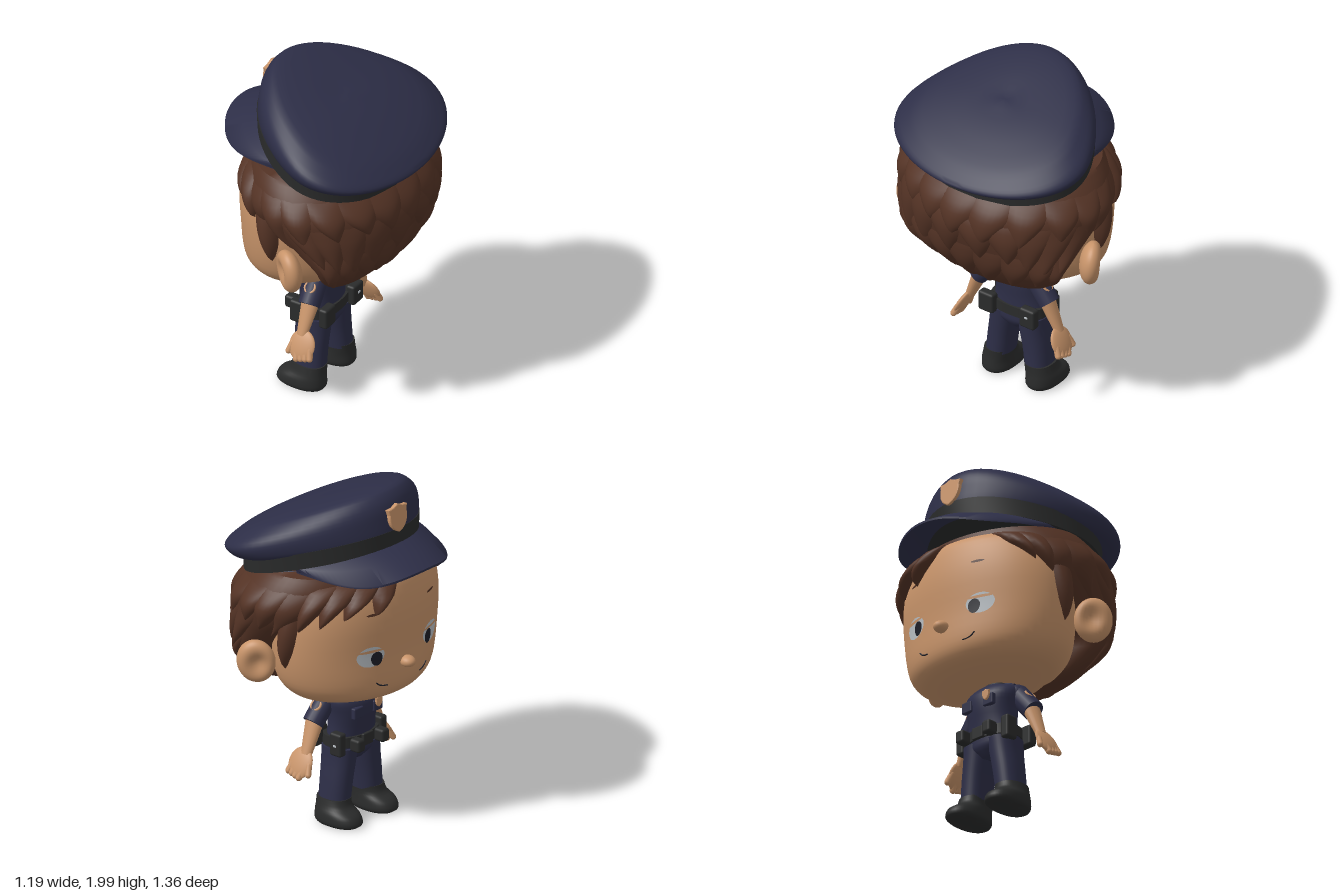
import * as THREE from 'three';
import { toCreasedNormals } from 'three/addons/utils/BufferGeometryUtils.js';
import { RoundedBoxGeometry } from 'three/addons/geometries/RoundedBoxGeometry.js';

const mat = (name, color, side = THREE.FrontSide) => {
  const m = new THREE.MeshStandardMaterial({ color, side });
  m.name = name;
  return m;
};
const navy = mat('navy cloth', 0x2d2e47), black = mat('black leather', 0x2a2b2b);
const skin = mat('skin', 0xc8946a), brown = mat('brown hair', 0x543325, THREE.DoubleSide);
const white = mat('eye white', 0xb9bfc4), dark = mat('dark pupil', 0x1c1e28);

const add = (parent, name, geo, material, x = 0, y = 0, z = 0) => {
  const m = new THREE.Mesh(geo, material);
  m.name = name;
  m.position.set(x, y, z);
  parent.add(m);
  return m;
};

// Grid of points f(i, j); faces are turned away from the middle of the head
function grid(f, nu, nv, closed, crease = 0.9) {
  const pos = [], idx = [], cols = closed ? nu : nu + 1, P = [];
  for (let j = 0; j <= nv; j++) for (let i = 0; i < cols; i++) P.push(f(i / nu, j / nv));
  P.forEach(p => pos.push(p.x, p.y, p.z));
  for (let j = 0; j < nv; j++) for (let i = 0; i < nu; i++) {
    const a = j * cols + i, b = j * cols + (i + 1) % cols;
    idx.push(a, b, a + cols, b, b + cols, a + cols);
  }
  const c = new THREE.Vector3(0, 1.2, 0), q = k => P[idx[k]].clone().sub(c);
  let volume = 0;
  for (let k = 0; k < idx.length; k += 3) volume += q(k).dot(q(k + 1).cross(q(k + 2)));
  if (volume < 0) idx.reverse();
  const g = new THREE.BufferGeometry();
  g.setAttribute('position', new THREE.Float32BufferAttribute(pos, 3));
  g.setIndex(idx);
  return toCreasedNormals(g, crease);
}

// Cross-sections: [y, half width, front x, back x, drop towards the back, centre z]
const spline = (p, q, r, s, t) =>
  0.5 * (2 * q + (r - p) * t + (2 * p - 5 * q + 4 * r - s) * t * t + (3 * q - p - 3 * r + s) * t * t * t);
function ringAt(rings, v) {
  const last = rings.length - 1, i = Math.min(Math.floor(v), last - 1), t = v - i;
  const r = k => rings[Math.max(0, Math.min(last, k))];
  return [0, 1, 2, 3, 4, 5].map(k => spline(r(i - 1)[k] || 0, r(i)[k] || 0, r(i + 1)[k] || 0, r(i + 2)[k] || 0, t));
}
// egg moves the widest part back and narrows the rear
function ringPoint(R, a, n = 2, egg = 0, off = 0) {
  const b = a + egg * Math.sin(a), pw = v => Math.sign(v) * Math.abs(v) ** (2 / n);
  const c = pw(Math.cos(b)), s = pw(Math.sin(a)) * (1 - egg * 0.75 * Math.max(0, -c) ** 2);
  return new THREE.Vector3((R[2] + R[3]) / 2 - ((R[3] - R[2]) / 2 + off) * c,
    R[0] - R[4] * (1 - c) / 2, R[5] + (R[1] + off) * s);
}
function loft(rings, { n = 2, egg = 0, sub = 3, seg = 40 } = {}) {
  const cap = r => [r[0] - (r[4] || 0) / 2, 0, (r[2] + r[3]) / 2, (r[2] + r[3]) / 2, 0, r[5] || 0];
  const rows = [], last = rings.length - 1;
  for (let k = 0; k <= last * sub; k++) rows.push(ringAt(rings, k / sub));
  rows.unshift(cap(rings[0]));
  rows.push(cap(rings[last]));
  const nv = rows.length - 1;
  return grid((u, v) => ringPoint(rows[Math.round(v * nv)], u * Math.PI * 2, n, egg), seg, nv, true);
}
// Point on a lofted surface at angle a (0 = face side) and height y
const ROUND = 1.97;
function onSurface(rings, a, y, off) {
  let i = 0;
  while (i < rings.length - 2 && rings[i + 1][0] < y) i++;
  const t = THREE.MathUtils.clamp((y - rings[i][0]) / (rings[i + 1][0] - rings[i][0]), 0, 1);
  return ringPoint(ringAt(rings, i + t), a, ROUND, 0, off);
}
// Leaf-shaped lock of hair from (a0, y0) to its tip at (a1, y1)
const lock = (rings, a0, y0, a1, y1, w, thick, blunt = 2) => grid((p, v) => {
  const u = p * 2 - 1, a = a0 + (a1 - a0) * v + u * w * (1 - v ** blunt);
  const off = thick * (1 - u * u) * Math.max(0, Math.sin(Math.PI * v ** 1.3)) ** 0.6 - 0.004;
  return onSurface(rings, a, y0 + (y1 - y0) * v + 0.03 * u * u * (1 - v), off);
}, 8, 12, false);
// Thin oval plate lying on a lofted surface
const plate = (rings, a, y, w, h, off) => grid((u, v) => onSurface(rings,
  a + w * v * Math.cos(u * 6.2832), y + h * v * Math.sin(u * 6.2832), off), 24, 4, true);

const limb = (parent, name, p, q, r0, r1, material) => {
  const a = new THREE.Vector3(...p), d = new THREE.Vector3(...q).sub(a);
  const m = add(parent, name, new THREE.CylinderGeometry(r1, r0, d.length(), 20), material);
  m.position.copy(a).addScaledVector(d, 0.5);
  m.quaternion.setFromUnitVectors(new THREE.Vector3(0, 1, 0), d.normalize());
  return m;
};
const ball = (parent, name, material, p, s) => {
  const m = add(parent, name, new THREE.SphereGeometry(1, 24, 16), material, ...p);
  m.scale.set(...s);
  return m;
};
const shield = (w, h, depth) => {
  const s = new THREE.Shape();
  s.moveTo(0, -h);
  s.bezierCurveTo(w * 0.6, -h * 0.8, w, -h * 0.4, w * 0.9, h * 0.4);
  s.lineTo(w, h * 0.75).lineTo(w * 0.5, h * 0.8).lineTo(0, h).lineTo(-w * 0.5, h * 0.8).lineTo(-w, h * 0.75).lineTo(-w * 0.9, h * 0.4);
  s.bezierCurveTo(-w, -h * 0.4, -w * 0.6, -h * 0.8, 0, -h);
  return new THREE.ExtrudeGeometry(s, { depth, bevelSize: 0.006, bevelThickness: 0.006, bevelSegments: 2 }).rotateY(-Math.PI / 2);
};

const HEAD = [[0.8, 0.3, -0.3, 0.15], [0.82, 0.4, -0.38, 0.22], [0.87, 0.47, -0.425, 0.27], [0.95, 0.515, -0.44, 0.3],
  [1.1, 0.545, -0.44, 0.3], [1.3, 0.55, -0.45, 0.3], [1.46, 0.52, -0.43, 0.3], [1.54, 0.45, -0.39, 0.28], [1.575, 0.3, -0.27, 0.2]];
const HAIR = [[0.81, 0.2, 0.1, 0.26], [0.86, 0.36, 0.11, 0.35], [0.95, 0.47, 0.11, 0.42], [1.05, 0.54, 0.09, 0.475],
  [1.2, 0.59, -0.15, 0.527], [1.3, 0.62, -0.3, 0.543], [1.4, 0.635, -0.36, 0.527], [1.5, 0.585, -0.38, 0.465], [1.57, 0.53, -0.37, 0.4]];

function buildHead(g) {
  add(g, 'head', loft(HEAD, { n: ROUND, seg: 64 }), skin);
  ball(g, 'nose', skin, [-0.455, 1.02, 0], [0.048, 0.033, 0.042]);
  for (const s of [1, -1]) {
    const corner = new THREE.CatmullRomCurve3([0.27, 0.33, 0.38, 0.42].map((a, i) => onSurface(HEAD, s * a, 0.918 + i * i * 0.003, 0)));
    add(g, 'mouthCorner', new THREE.TubeGeometry(corner, 10, 0.004, 6), dark);
    add(g, 'eye', plate(HEAD, s * 0.47, 1.11, 0.17, 0.058, 0.004), white);
    add(g, 'pupil', plate(HEAD, s * 0.4, 1.095, 0.07, 0.04, 0.008), dark);
    add(g, 'eyelid', plate(HEAD, s * 0.47, 1.143, 0.18, 0.008, 0.009), skin);
    add(g, 'eyebrow', plate(HEAD, s * 0.45, 1.35, 0.08, 0.007, 0.005), brown);
    // Ear with a hollow in its outer side
    const e = new THREE.SphereGeometry(1, 32, 24), p = e.attributes.position;
    for (let i = 0; i < p.count; i++) {
      const x = p.getX(i), y = p.getY(i), z = p.getZ(i);
      if (z > 0) p.setZ(i, z - 0.75 * Math.exp(-3.5 * ((x + 0.15) ** 2 + y * y)));
    }
    if (s < 0) e.rotateY(Math.PI).scale(-1, 1, 1), e.index.array.reverse();
    e.scale(0.108, 0.128, 0.068).computeVertexNormals();
    const ear = add(g, 'ear', e, skin, 0.115, 1.055, s * 0.602);
    ear.rotation.set(s * 0.12, s * -0.55, 0);
  }
}

function buildHair(g) {
  add(g, 'hair', loft(HAIR, { n: ROUND, seg: 64 }), brown);
  // Overlapping rows of locks, lowest row first: count, top, tip, first angle
  [[9, 1.16, 0.87, 1.85], [10, 1.36, 1.04, 1.75], [13, 1.5, 1.22, 1.1]].forEach(([n, y0, y1, start], row) => {
    for (let i = 0; i < n; i++) {
      const a = start + (2 * Math.PI - 2 * start) * i / (n - 1), wob = Math.sin(i * 7.3 + row * 2.1);
      add(g, 'hairLock', lock(HAIR, a, y0, a + wob * 0.1, y1 + wob * 0.05, 0.24, 0.03), brown);
    }
  });
  // Swept fringe and blunt sideburns
  [[0.75, 1.56, 1.15, 1.34, 0.24, 0.05], [1.0, 1.56, 1.4, 1.28, 0.28, 0.06], [1.55, 1.45, 1.67, 1.03, 0.2, 0.05, 5],
    [-0.18, 1.56, -0.42, 1.34, 0.2, 0.07], [-0.4, 1.56, -0.8, 1.34, 0.24, 0.07], [-0.7, 1.56, -1.1, 1.3, 0.26, 0.06],
    [-1.0, 1.56, -1.4, 1.27, 0.28, 0.06], [-1.55, 1.45, -1.67, 1.03, 0.2, 0.05, 5]]
    .forEach(l => add(g, 'fringeLock', lock(HEAD, ...l), brown));
}

function buildCap(g) {
  const BAND = [[1.69, 0.55, -0.385, 0.49, 0.235], [1.79, 0.555, -0.39, 0.495, 0.25]];
  add(g, 'capBand', loft(BAND, { egg: 0.27, sub: 1, seg: 64 }), black);
  add(g, 'capCrown', loft([[1.76, 0.54, -0.38, 0.47, 0.23], [1.775, 0.585, -0.388, 0.54, 0.24], [1.85, 0.617, -0.378, 0.585, 0.29],
    [1.92, 0.605, -0.365, 0.59, 0.34], [1.975, 0.55, -0.335, 0.56, 0.36], [1.998, 0.46, -0.28, 0.48, 0.315],
    [1.95, 0.24, -0.1, 0.3, 0.16], [1.88, 0.02, 0.08, 0.12, 0.01]], { egg: 0.35, seg: 72 }), navy);
  // Visor: a curved crescent, top layer out and under layer back
  const layers = [[0, 0.012], [0.5, 0.022], [1, 0.006], [1, -0.006], [0.5, 0.004], [0, -0.012]];
  add(g, 'visor', grid((u, v) => {
    const t = (u - 0.5) * Math.PI, [k, lift] = layers[Math.round(v * 5)];
    const inner = ringPoint([1.69, 0.52, -0.375, 0.48, 0.23, 0], t * 0.8, 2, 0.27);
    const outer = ringPoint([1.603, 0.46, -0.595, 0.49, 0, 0], t, 2.15);
    outer.y -= 0.02 * Math.sin(t) ** 2 + 0.035 * Math.sin(2 * t) ** 2;
    const p = inner.lerp(outer, k);
    p.y += lift;
    return p;
  }, 48, 5, false), navy);
  add(g, 'capBadge', shield(0.07, 0.075, 0.02), skin, -0.368, 1.85, 0).rotation.z = -0.12;
}

function buildBody(g) {
  add(g, 'neck', new THREE.CylinderGeometry(0.055, 0.06, 0.1, 20), skin, -0.02, 0.79, 0);
  add(g, 'collar', loft([[0.765, 0.085, -0.1, 0.06], [0.8, 0.075, -0.08, 0.055]], { sub: 1 }), black);
  const SHIRT = [[0.48, 0.165, -0.15, 0.06], [0.56, 0.155, -0.16, 0.06], [0.64, 0.16, -0.172, 0.065],
    [0.71, 0.172, -0.168, 0.06], [0.76, 0.15, -0.13, 0.05], [0.79, 0.08, -0.09, 0.045]];
  add(g, 'shirt', loft(SHIRT, { n: ROUND }), navy);
  add(g, 'openCollar', plate(SHIRT, 0, 0.745, 0.2, 0.03, 0.006), skin);
  add(g, 'chestBadge', shield(0.02, 0.026, 0.006), skin, -0.178, 0.68, 0.075);
  add(g, 'hips', loft([[0.355, 0.05, -0.11, 0.03], [0.4, 0.15, -0.145, 0.058], [0.44, 0.17, -0.15, 0.062], [0.5, 0.17, -0.15, 0.062]], { n: 2.3 }), navy);
  add(g, 'belt', loft([[0.45, 0.178, -0.16, 0.07], [0.51, 0.175, -0.16, 0.07]], { n: 2.4, sub: 1 }), black);
  const box = (name, m, x, y, z, w, h, d) => add(g, name, new RoundedBoxGeometry(w, h, d, 2, Math.min(w, h, d) * 0.25), m, x, y, z);
  box('buckle', black, -0.165, 0.48, 0, 0.02, 0.07, 0.08);
  box('cuffPlate', white, 0.098, 0.495, -0.14, 0.006, 0.012, 0.02);
  box('holsterStud', white, -0.1, 0.475, -0.198, 0.022, 0.012, 0.006);
  for (const s of [1, -1]) {
    box('backPouch', black, 0.07, 0.485, s * 0.14, 0.055, 0.12, 0.1);
    box('frontPouch', black, -0.18, 0.475, s * 0.1, 0.07, 0.075, 0.06);
    box('holster', black, -0.1, 0.48, s * 0.17, 0.08, 0.135, 0.055);
    box('chestPocket', navy, -0.162, 0.655, s * 0.08, 0.03, 0.065, 0.075);
    box('epaulette', navy, -0.02, 0.775, s * 0.115, 0.05, 0.015, 0.08).rotation.x = s * 0.35;
    add(g, 'trouserLeg', loft([[0.13, 0.075, -0.135, 0.05, 0, s * 0.132], [0.25, 0.077, -0.14, 0.05, 0, s * 0.118],
      [0.36, 0.08, -0.145, 0.055, 0, s * 0.1], [0.44, 0.085, -0.15, 0.06, 0, s * 0.09]], { n: 2.3 }), navy);
    add(g, 'shoe', loft([[0.005, 0.08, -0.215, 0.05, 0, s * 0.148], [0.025, 0.094, -0.235, 0.06, 0, s * 0.148],
      [0.07, 0.092, -0.215, 0.058, 0, s * 0.148], [0.105, 0.084, -0.155, 0.055, 0, s * 0.143],
      [0.15, 0.08, -0.14, 0.055, 0, s * 0.136]], { n: 2.3 }), black);
    // Arm: sleeve, patch, forearm and flat hand with the fingers held together
    ball(g, 'shoulder', navy, [0.005, 0.715, s * 0.135], [0.068, 0.062, 0.062]);
    limb(g, 'sleeve', [0.008, 0.72, s * 0.135], [0.018, 0.595, s * 0.242], 0.062, 0.06, navy);
    const patch = add(g, 'sleevePatch', new THREE.TorusGeometry(0.03, 0.007, 8, 20), skin, 0.012, 0.697, s * 0.223);
    patch.rotation.x = -0.75 * s;
    limb(g, 'forearm', [0.018, 0.62, s * 0.22], [0.012, 0.43, s * 0.305], 0.042, 0.024, skin).scale.x = 1.35;
    const hand = new THREE.Group();
    hand.name = 'hand';
    hand.position.set(0.025, 0.375, s * 0.335);
    hand.rotation.x = -s * 0.44;
    g.add(hand);
    ball(hand, 'palm', skin, [0.005, 0.01, 0], [0.08, 0.09, 0.022]);
    for (let i = 0; i < 4; i++) {
      const f = add(hand, 'finger', new THREE.CapsuleGeometry(0.018, 0.05, 4, 10), skin, -0.018 + i * 0.027, -0.047 + i * 0.007, 0);
      f.rotation.z = 0.25;
    }
    add(hand, 'thumb', new THREE.CapsuleGeometry(0.017, 0.055, 4, 10), skin, -0.062, -0.015, 0).rotation.z = -0.25;
  }
}

export function createModel() {
  const model = new THREE.Group();
  model.name = 'officerFigure';
  [['headParts', buildHead], ['hairParts', buildHair], ['cap', buildCap], ['body', buildBody]].forEach(([name, build]) => {
    const g = new THREE.Group();
    g.name = name;
    build(g);
    model.add(g);
  });
  return model;
}
